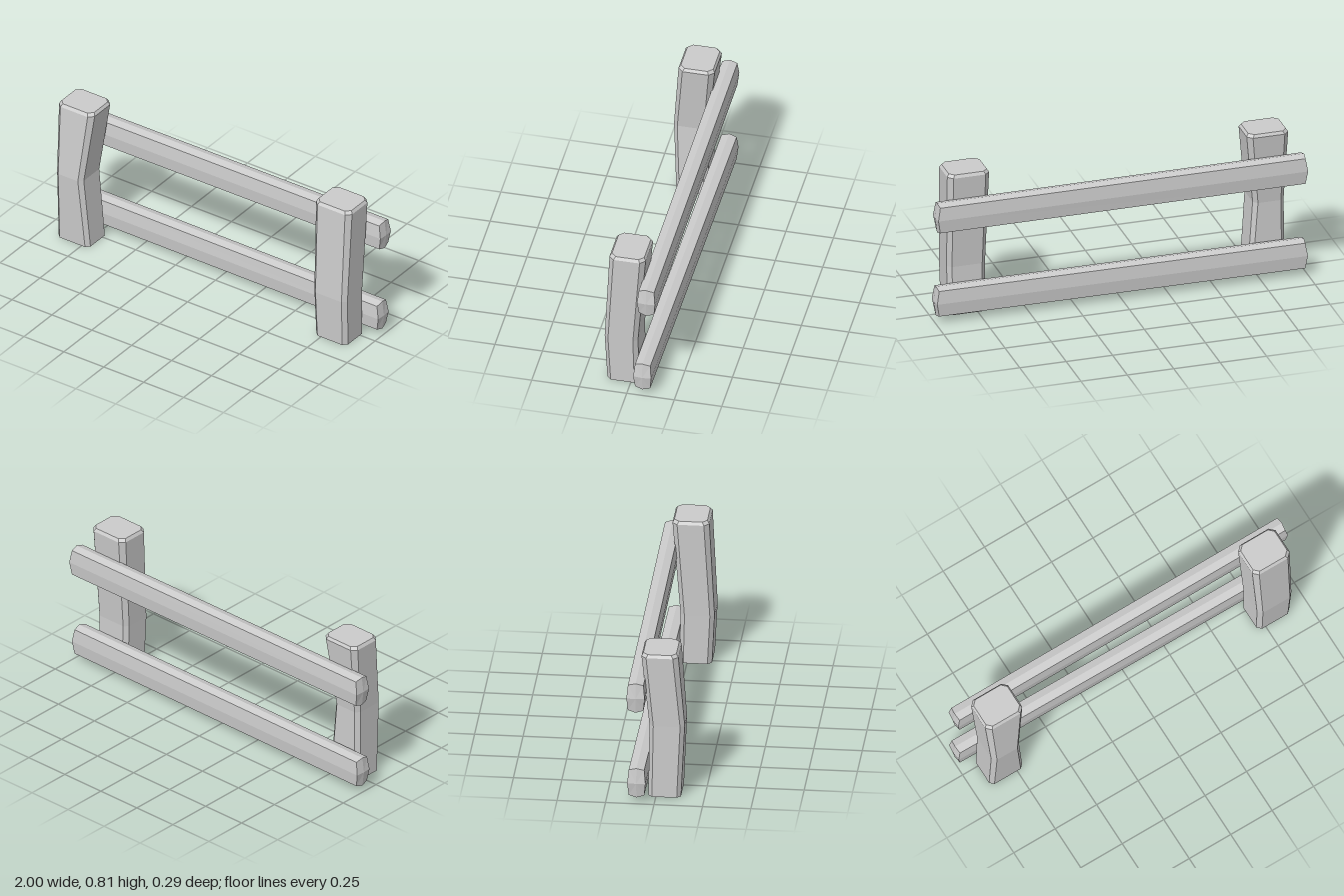
import * as THREE from 'three';

const material = new THREE.MeshStandardMaterial({ color: 0xcccccc, flatShading: true, side: THREE.DoubleSide });

// Skin a list of equal-length rings; optional centre points close the ends.
function loft(rings, startCentre, endCentre) {
  const n = rings[0].length;
  const points = rings.flat();
  const index = [];
  for (let i = 0; i < rings.length - 1; i++) {
    for (let j = 0; j < n; j++) {
      const a = i * n + j, b = i * n + (j + 1) % n;
      index.push(a, b, b + n, a, b + n, a + n);
    }
  }
  const cap = (centre, base, flip) => {
    const c = points.push(centre) - 1;
    for (let j = 0; j < n; j++) {
      const a = base + j, b = base + (j + 1) % n;
      index.push(c, flip ? b : a, flip ? a : b);
    }
  };
  if (startCentre) cap(startCentre, 0, true);
  if (endCentre) cap(endCentre, (rings.length - 1) * n, false);
  const geometry = new THREE.BufferGeometry();
  geometry.setAttribute('position', new THREE.Float32BufferAttribute(points.flat(), 3));
  geometry.setIndex(index);
  const flat = geometry.toNonIndexed();
  flat.computeVertexNormals();
  return flat;
}

// Horizontal rectangle with cut corners, counter-clockwise from above.
function postRing([y, x0, x1, z0, z1, c]) {
  return [
    [x1 - c, y, z1], [x1, y, z1 - c], [x1, y, z0 + c], [x1 - c, y, z0],
    [x0 + c, y, z0], [x0, y, z0 + c], [x0, y, z1 - c], [x0 + c, y, z1],
  ];
}

// Bent post with a bevelled top and an open underside.
function makePost(name, stations) {
  const [y, x0, x1, z0, z1] = stations[stations.length - 1];
  const mesh = new THREE.Mesh(
    loft(stations.map(postRing), null, [(x0 + x1) / 2, y, (z0 + z1) / 2]), material);
  mesh.name = name;
  return mesh;
}

// Rail with gently bulging sides and ends.
function makeRail(name, y, zRight, zLeft) {
  const profile = [
    [-0.04, 0.071], [0, 0.082], [0.04, 0.071], [0.047, 0],
    [0.04, -0.071], [0, -0.082], [-0.04, -0.071], [-0.047, 0],
  ];
  const ring = (side, z) => profile.map(([dz, dy], i) =>
    [side * (i % 4 === 3 ? 0.996 : i % 4 === 1 ? 0.989 : 0.984), y + dy, z + dz]);
  const mesh = new THREE.Mesh(
    loft([ring(-1, zRight), ring(1, zLeft)], [-1, y, zRight], [1, y, zLeft]), material);
  mesh.name = name;
  return mesh;
}

export function createModel() {
  const group = new THREE.Group();
  group.name = 'fence';

  // Posts: y, x range, z range, corner cut
  group.add(makePost('rightPost', [
    [0, -0.907, -0.708, -0.04, 0.128, 0.02],
    [0.4, -0.905, -0.738, -0.035, 0.147, 0.022],
    [0.79, -0.918, -0.695, -0.075, 0.115, 0.026],
    [0.806, -0.908, -0.705, -0.066, 0.104, 0.025],
  ]));
  group.add(makePost('leftPost', [
    [0, 0.706, 0.905, -0.04, 0.128, 0.022],
    [0.27, 0.703, 0.91, -0.034, 0.141, 0.022],
    [0.79, 0.693, 0.918, -0.075, 0.115, 0.026],
    [0.806, 0.703, 0.908, -0.066, 0.104, 0.025],
  ]));

  // Rails fixed to the back of the posts
  group.add(makeRail('upperRail', 0.594, -0.096, -0.1));
  group.add(makeRail('lowerRail', 0.113, -0.092, -0.08));
  return group;
}
